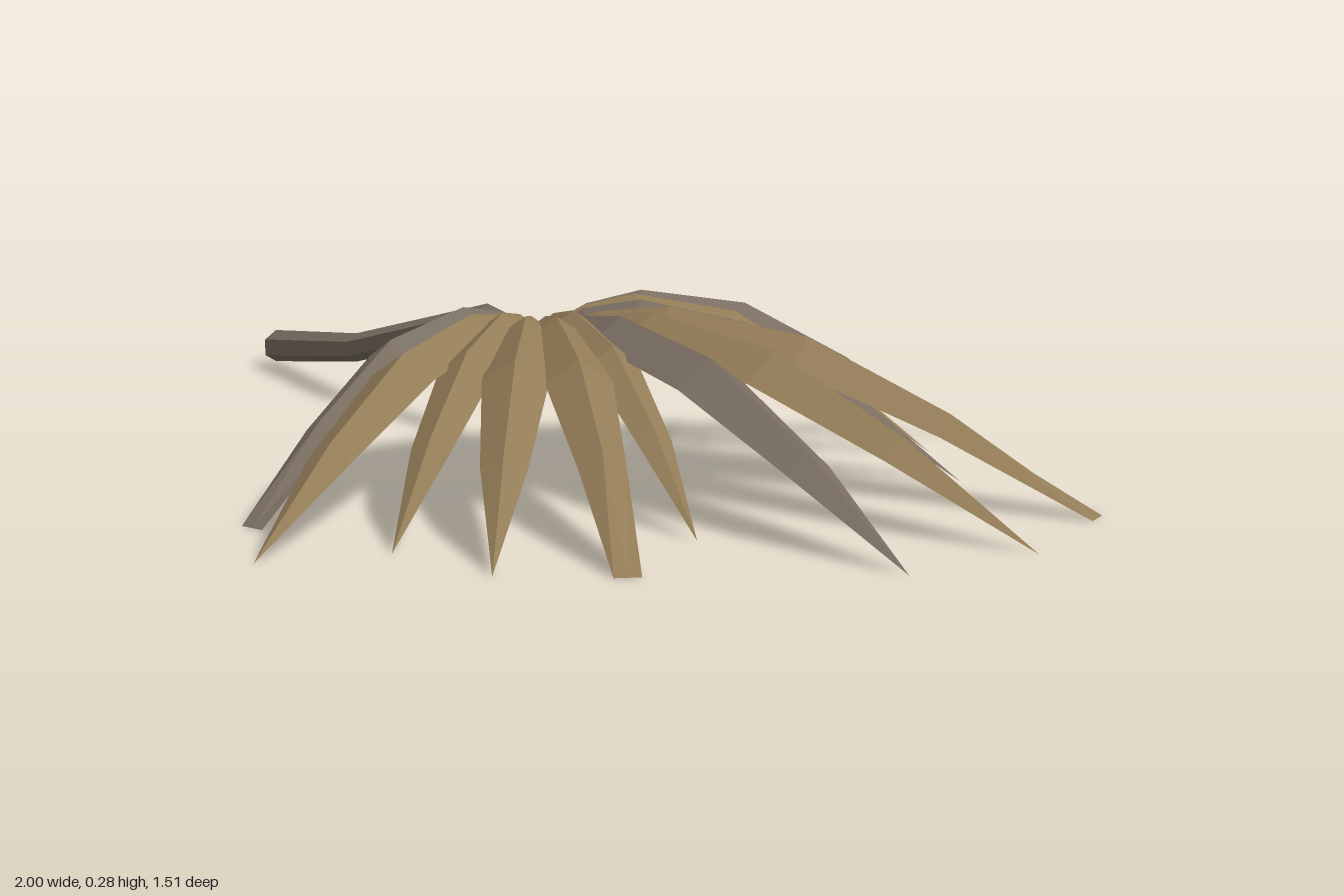
import * as THREE from 'three';

const tan = new THREE.MeshStandardMaterial({ color: 0x937c57, flatShading: true, side: THREE.DoubleSide });
tan.name = 'dry tan';
const grey = new THREE.MeshStandardMaterial({ color: 0x7a6e62, flatShading: true, side: THREE.DoubleSide });
grey.name = 'weathered grey';

const HUB = [-0.07, -0.1]; // x, z where all leaflets meet

// Fraction along leaflet, ridge height, half width relative to length
const PROFILE = [
  [0, 0.222, 0.005],
  [0.12, 0.268, 0.036],
  [0.25, 0.288, 0.055],
  [0.5, 0.258, 0.062],
  [0.75, 0.153, 0.043],
  [1, 0.007, 0],
];

// Tip x, tip z, colour, half width of a blunt tip, sideways bow
const LEAFLETS = [
  [0.29, -0.76, grey, 0, 0],
  [0.38, -0.62, tan, 0, 0],
  [0.57, -0.49, grey, 0, 0],
  [0.9, -0.455, tan, 0.022, 0],
  [1.0, -0.2, tan, 0, 0],
  [0.96, 0.05, grey, 0, 0],
  [0.59, 0.14, tan, 0, 0],
  [0.69, 0.38, tan, 0.022, 0],
  [0.55, 0.53, tan, 0, 0],
  [0.34, 0.555, tan, 0, 0],
  [0.25, 0.755, tan, 0, 0],
  [0.06, 0.615, grey, 0.022, 0.018],
];

function makeGeometry(positions, index) {
  const g = new THREE.BufferGeometry();
  g.setAttribute('position', new THREE.Float32BufferAttribute(positions, 3));
  g.setIndex(index);
  g.computeVertexNormals();
  return g;
}

// Drooping leaflet folded along a raised centre ridge
function leaflet([tipX, tipZ, material, blunt, bow]) {
  const dx = tipX - HUB[0], dz = tipZ - HUB[1];
  const length = Math.hypot(dx, dz);
  const nx = -dz / length, nz = dx / length;
  const pos = [], index = [];
  PROFILE.forEach(([t, y, w], i) => {
    const half = t === 1 ? blunt : w * length;
    const drop = t === 1 ? 0 : half * 0.7;
    const bend = bow * Math.sin(Math.PI * t);
    for (const s of [-1, 0, 1]) {
      const side = s * half + bend;
      pos.push(HUB[0] + dx * t + nx * side, y - Math.abs(s) * drop, HUB[1] + dz * t + nz * side);
    }
    if (i === 0) return;
    for (let k = 0; k < 2; k++) {
      const a = (i - 1) * 3 + k, b = a + 3;
      index.push(a, a + 1, b + 1, a, b + 1, b);
    }
  });
  return new THREE.Mesh(makeGeometry(pos, index), material);
}

// Tapered, bent six-sided stalk: x, y, z, radius at each joint
function stalk() {
  const joints = [
    [-1, 0.047, -0.24, 0.031],
    [-0.64, 0.105, -0.155, 0.027],
    [-0.24, 0.22, -0.135, 0.024],
    [-0.06, 0.208, -0.1, 0.018],
  ];
  const sides = 6, pos = [], index = [];
  joints.forEach(([x, y, z, r], i) => {
    for (let j = 0; j < sides; j++) {
      const a = (j / sides) * Math.PI * 2;
      pos.push(x, y + r * Math.cos(a), z + r * Math.sin(a));
      if (i === 0) continue;
      const k = (j + 1) % sides, p = (i - 1) * sides, q = i * sides;
      index.push(p + j, p + k, q + k, p + j, q + k, q + j);
    }
  });
  // End caps
  const last = (joints.length - 1) * sides;
  for (let j = 1; j < sides - 1; j++) {
    index.push(0, j + 1, j, last, last + j, last + j + 1);
  }
  return new THREE.Mesh(makeGeometry(pos, index), grey);
}

export function createModel() {
  const group = new THREE.Group();
  group.name = 'driedFanFrond';
  const stem = stalk();
  stem.name = 'stalk';
  group.add(stem);
  const fan = new THREE.Group();
  fan.name = 'fan';
  LEAFLETS.forEach((spec, i) => {
    const leaf = leaflet(spec);
    leaf.name = `leaflet${i + 1}`;
    fan.add(leaf);
  });
  group.add(fan);
  return group;
}
